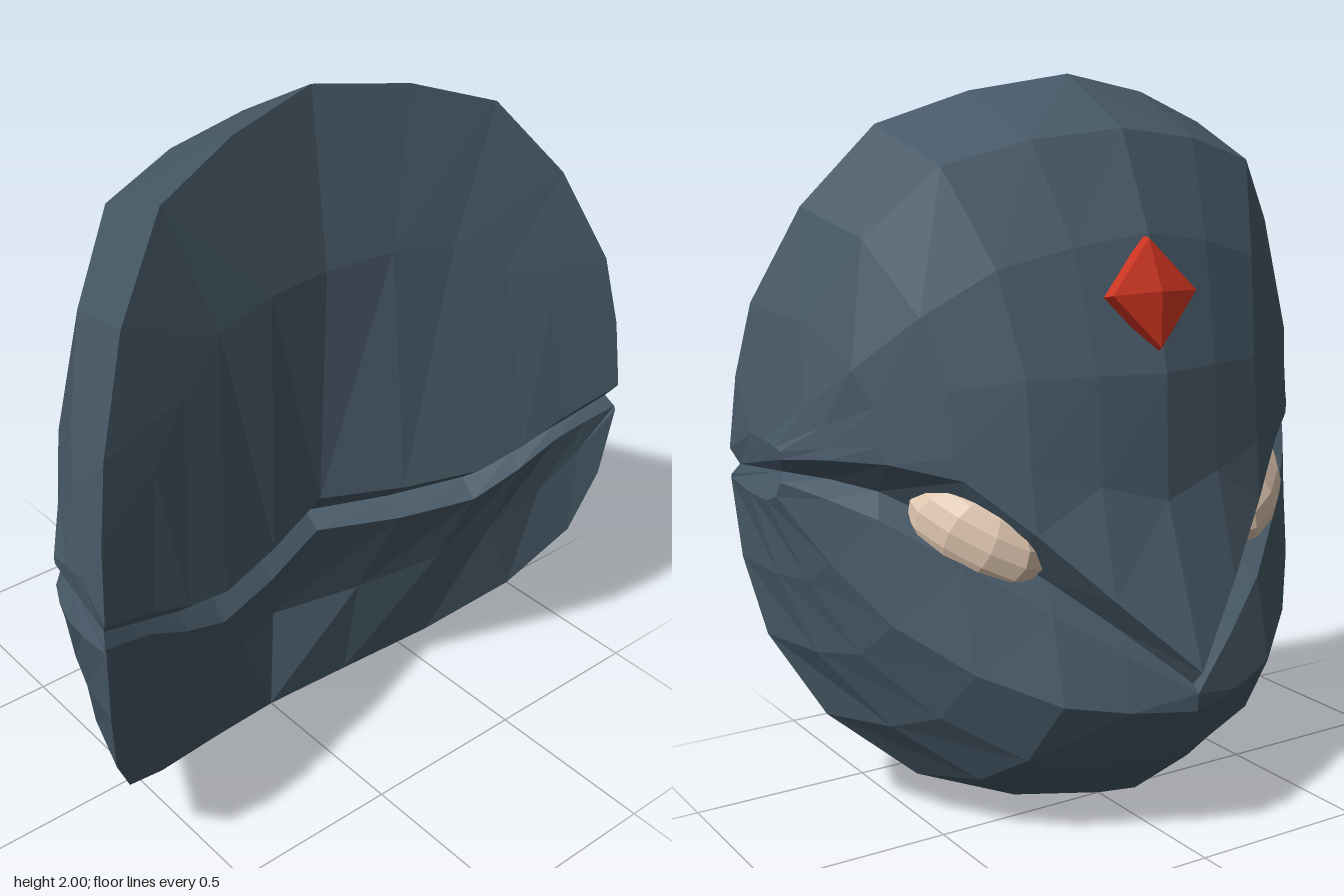
import * as THREE from 'three';

const paint = (name, color) => {
  const m = new THREE.MeshStandardMaterial({ color });
  m.name = name;
  return m;
};

// Faceted normals without a material flag
function faceted(geometry) {
  const g = geometry.index ? geometry.toNonIndexed() : geometry;
  g.computeVertexNormals();
  return g;
}

const STEPS = 6; // columns per half

// A cross-section: curve from the centre line to the side, mirrored to the other side
function section(points) {
  const curve = new THREE.CatmullRomCurve3(points.map((p) => new THREE.Vector3(...p)));
  const half = [];
  for (let i = 0; i <= STEPS; i++) half.push(curve.getPoint(i / STEPS));
  const mirrored = half.slice(1).reverse().map((p) => new THREE.Vector3(-p.x, p.y, p.z));
  return [...mirrored, ...half];
}

// Skin a list of cross-sections with flat facets and close both ends
function loft(sections) {
  const rows = sections.map(section);
  const last = STEPS * 2;
  const pos = [];
  const tri = (...corners) => corners.forEach((p) => pos.push(p.x, p.y, p.z));
  for (let i = 0; i < rows.length - 1; i++) {
    for (let j = 0; j < last; j++) {
      const a = rows[i][j], b = rows[i][j + 1], c = rows[i + 1][j], d = rows[i + 1][j + 1];
      if (j >= STEPS) { tri(a, b, d); tri(a, d, c); }
      else { tri(a, b, c); tri(b, d, c); }
    }
    if (i > 0) {
      tri(rows[0][0], rows[i][0], rows[i + 1][0]);
      tri(rows[0][last], rows[i + 1][last], rows[i][last]);
    }
  }
  const g = new THREE.BufferGeometry();
  g.setAttribute('position', new THREE.Float32BufferAttribute(pos, 3));
  return faceted(g);
}

export function createModel() {
  const group = new THREE.Group();
  group.name = 'mask';
  const slate = paint('slate', 0x465866);
  const red = paint('red', 0xc8321e);
  const bone = paint('bone', 0xdfc6b0);

  const add = (name, geometry, material, parent = group) => {
    const mesh = new THREE.Mesh(geometry, material);
    mesh.name = name;
    parent.add(mesh);
    return mesh;
  };

  // Valleys of the groove that runs all the way round between the shells
  const backValley = [[0, 0.79, 0.15], [0.44, 0.8, 0.31], [0.7, 0.91, 0.4], [0.85, 0.98, 0.45]];
  const faceValley = [[0, 0.46, -0.44], [0.3, 0.73, -0.2], [0.63, 0.95, 0.07], [0.81, 0.99, 0.26]];

  // Upper shell: up the hollow back, over the rim, down the forehead to the beak
  add('upperShell', loft([
    backValley,
    [[0, 0.86, 0.21], [0.44, 0.85, 0.37], [0.7, 0.95, 0.43], [0.865, 1.02, 0.48]],
    [[0, 1.54, 0.22], [0.38, 1.52, 0.28], [0.65, 1.3, 0.39], [0.865, 1.02, 0.48]],
    [[0, 2, 0.15], [0.52, 1.87, 0.26], [0.81, 1.41, 0.43], [0.865, 1.02, 0.48]],
    [[0, 1.86, -0.11], [0.48, 1.77, -0.02], [0.76, 1.38, 0.22], [0.85, 1.08, 0.36]],
    [[0, 1.6, -0.23], [0.4, 1.52, -0.15], [0.7, 1.27, 0.06], [0.842, 1.07, 0.29]],
    [[0, 1.25, -0.315], [0.36, 1.25, -0.22], [0.66, 1.18, 0.01], [0.835, 1.06, 0.24]],
    [[0, 0.92, -0.325], [0.36, 1.02, -0.24], [0.66, 1.08, 0], [0.832, 1.05, 0.22]],
    [[0, 0.5, -0.48], [0.28, 0.78, -0.31], [0.5, 1, -0.15], [0.71, 1.04, 0.05], [0.83, 1.03, 0.22]],
    faceValley,
  ]), slate);

  // Lower shell: from the groove down the cheeks and chin, then up the back
  add('lowerShell', loft([
    faceValley,
    [[0, 0.44, -0.465], [0.33, 0.66, -0.29], [0.66, 0.89, 0.01], [0.832, 0.97, 0.22]],
    [[0, 0.39, -0.46], [0.33, 0.43, -0.34], [0.65, 0.62, -0.03], [0.838, 0.93, 0.24]],
    [[0, 0.2, -0.3], [0.36, 0.25, -0.21], [0.69, 0.52, 0.08], [0.845, 0.91, 0.29]],
    [[0, 0.08, -0.18], [0.42, 0.16, -0.06], [0.75, 0.5, 0.22], [0.858, 0.92, 0.37]],
    [[0, 0, 0], [0.3, 0.05, 0.06], [0.59, 0.18, 0.19], [0.78, 0.43, 0.37], [0.845, 0.68, 0.45], [0.865, 0.94, 0.48]],
    [[0, 0.35, 0.01], [0.42, 0.5, 0.25], [0.7, 0.68, 0.37], [0.865, 0.94, 0.48]],
    [[0, 0.75, 0.2], [0.44, 0.75, 0.36], [0.7, 0.88, 0.42], [0.865, 0.95, 0.475]],
    backValley,
  ]), slate);

  // Almond eyes set in the groove under the brow
  for (const side of [1, -1]) {
    const along = new THREE.Vector3(side * 0.24, 0.16, 0.2).normalize();
    const out = new THREE.Vector3(side * 0.57, -0.05, -0.82);
    const up = out.clone().cross(along).normalize();
    out.crossVectors(along, up);
    const eye = add(side > 0 ? 'leftEye' : 'rightEye', faceted(new THREE.SphereGeometry(1, 10, 8)), bone);
    eye.quaternion.setFromRotationMatrix(new THREE.Matrix4().makeBasis(along, up, out));
    eye.scale.set(0.19, 0.115, 0.085);
    eye.position.set(side * 0.445, 0.845, -0.105);
  }

  // Four-sided forehead gem: thin base with a low pyramid
  const gem = new THREE.Group();
  gem.name = 'foreheadGem';
  gem.position.set(0.015, 1.45, -0.268);
  gem.rotation.x = -1.36;
  gem.scale.x = 0.92;
  group.add(gem);
  add('gemBase', faceted(new THREE.CylinderGeometry(0.14, 0.15, 0.03, 4)), red, gem);
  add('gemFacets', faceted(new THREE.ConeGeometry(0.14, 0.03, 4)), red, gem).position.y = 0.03;

  return group;
}
